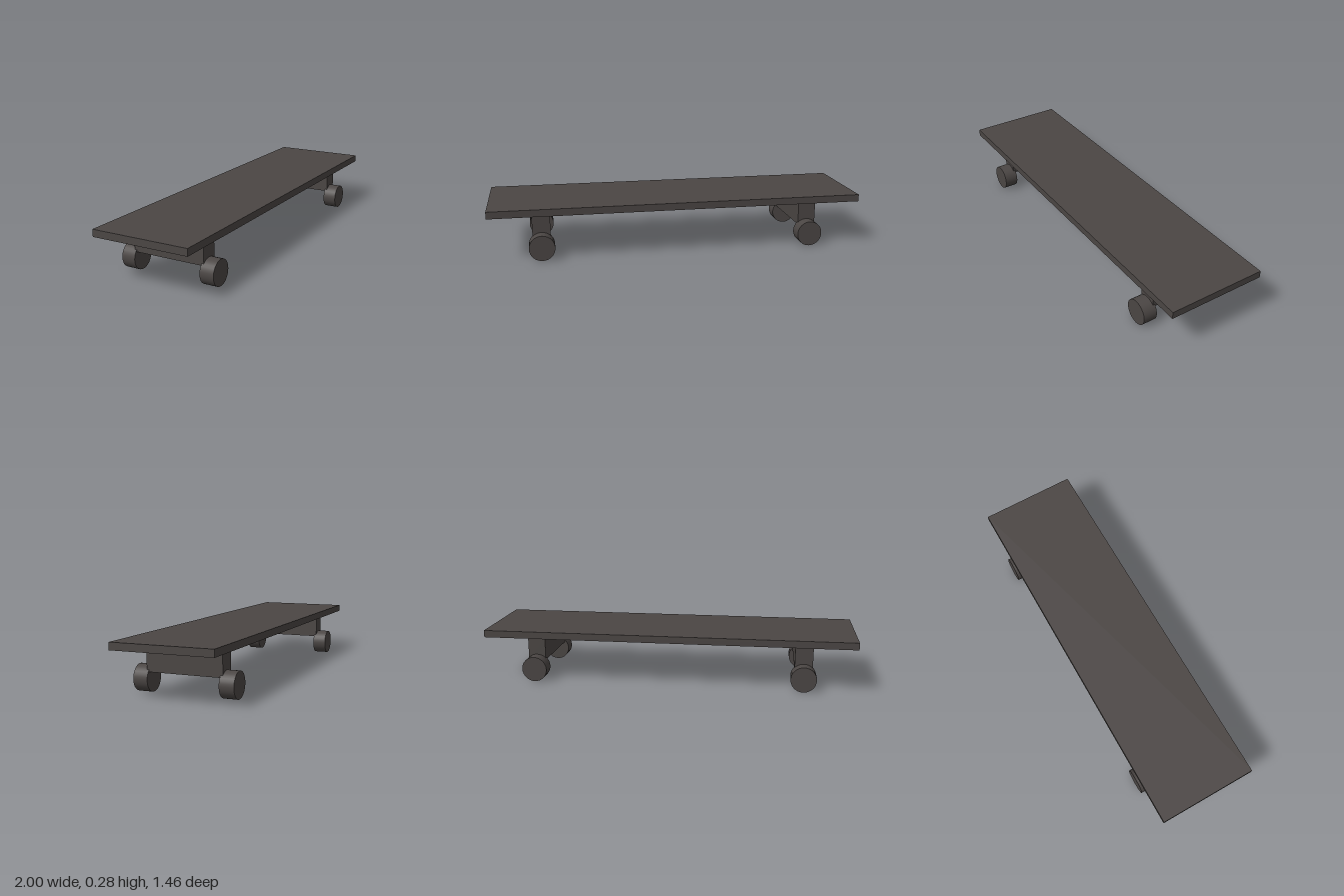
import * as THREE from 'three';

const charcoal = new THREE.MeshStandardMaterial({ color: 0x4b4644 });
charcoal.name = 'charcoal';

function addPart(parent, name, geometry, x, y, z) {
  const mesh = new THREE.Mesh(geometry, charcoal);
  mesh.name = name;
  mesh.position.set(x, y, z);
  parent.add(mesh);
}

export function createModel() {
  const board = new THREE.Group();
  board.name = 'skateboard';

  // Flat deck
  addPart(board, 'deck', new THREE.BoxGeometry(2.0, 0.038, 0.527), 0, 0.259, 0);

  const truckGeometry = new THREE.BoxGeometry(0.095, 0.125, 0.4);
  const wheelGeometry = new THREE.CylinderGeometry(0.068, 0.068, 0.076, 32).rotateX(Math.PI / 2);

  // A truck block with two wheels near each end of the deck
  for (const end of [-1, 1]) {
    const truck = new THREE.Group();
    truck.name = end > 0 ? 'noseTruck' : 'tailTruck';
    truck.position.x = end * 0.727;
    addPart(truck, 'truckBlock', truckGeometry, 0, 0.1675, 0);
    for (const side of [-1, 1]) {
      addPart(truck, side > 0 ? 'frontWheel' : 'backWheel', wheelGeometry, 0, 0.068, side * 0.226);
    }
    board.add(truck);
  }

  // The board stands turned by 30 degrees
  board.rotation.y = Math.PI / 6;
  const model = new THREE.Group();
  model.name = 'model';
  model.add(board);
  return model;
}
